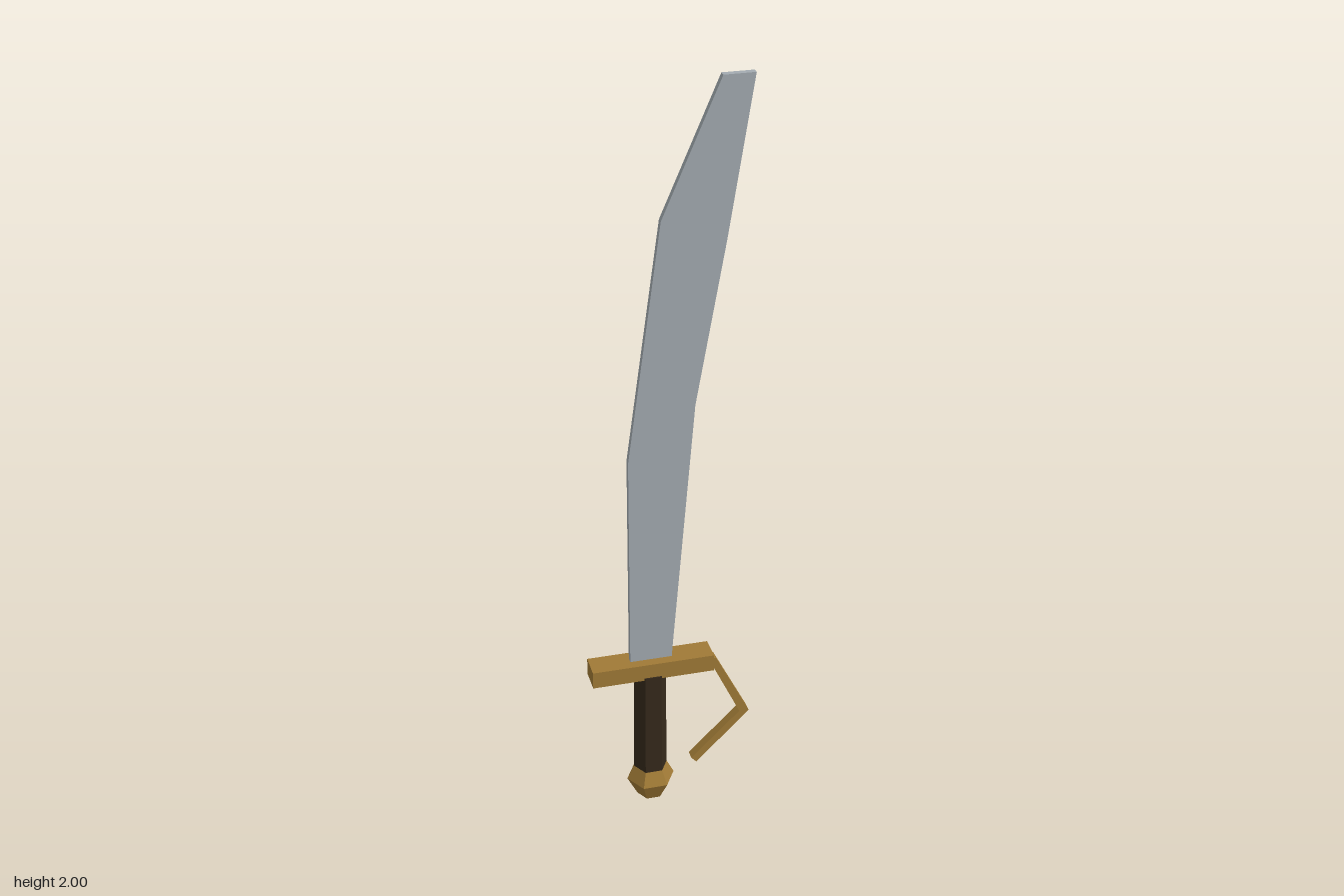
import * as THREE from 'three';

const mat = (name, color) => {
  const m = new THREE.MeshStandardMaterial({ color, flatShading: true });
  m.name = name;
  return m;
};

// Flat plate from an outline in x and y, centred in z
function plate(points, depth) {
  const shape = new THREE.Shape(points.map(([x, y]) => new THREE.Vector2(x, y)));
  const geo = new THREE.ExtrudeGeometry(shape, { depth, bevelEnabled: false });
  return geo.translate(0, 0, -depth / 2 - 0.001);
}

export function createModel() {
  const group = new THREE.Group();
  const steel = mat('steel', 0xa3abb1);
  const brass = mat('brass', 0xa07a36);
  const leather = mat('dark leather', 0x35291b);
  const gripX = -0.056;

  const add = (name, geo, material, x = 0, y = 0, z = 0) => {
    const mesh = new THREE.Mesh(geo, material);
    mesh.name = name;
    mesh.position.set(x, y, z);
    group.add(mesh);
    return mesh;
  };

  // Curved blade with a clipped tip
  add('blade', plate([
    [-0.11, 0.42], [0, 0.42], [0.003, 0.47], [0.06, 1.17], [0.135, 1.6], [0.198, 2],
    [0.12, 2], [-0.026, 1.66], [-0.11, 1.03],
  ], 0.017), steel);

  // Crossguard
  add('crossguard', new THREE.BoxGeometry(0.323, 0.047, 0.068), brass, -0.0535, 0.4165, -0.001);

  // Bent knuckle guard
  add('knuckleGuard', plate([
    [0.1, 0.415], [0.186, 0.233], [0.054, 0.102], [0.068, 0.087], [0.212, 0.232], [0.119, 0.417],
  ], 0.027), brass);

  // Six-sided grip, corners pointing along x
  const grip = new THREE.CylinderGeometry(0.043, 0.045, 0.315, 6, 1);
  add('grip', grip.rotateY(Math.PI / 6), leather, gripX, 0.2425, -0.001);

  // Six-sided pommel
  const profile = [[0, 0], [0.036, 0.003], [0.064, 0.057], [0.044, 0.098], [0, 0.1]];
  const pommel = new THREE.LatheGeometry(profile.map(([r, y]) => new THREE.Vector2(r, y)), 6);
  add('pommel', pommel.rotateY(Math.PI / 6), brass, gripX, 0, -0.001);

  return group;
}
